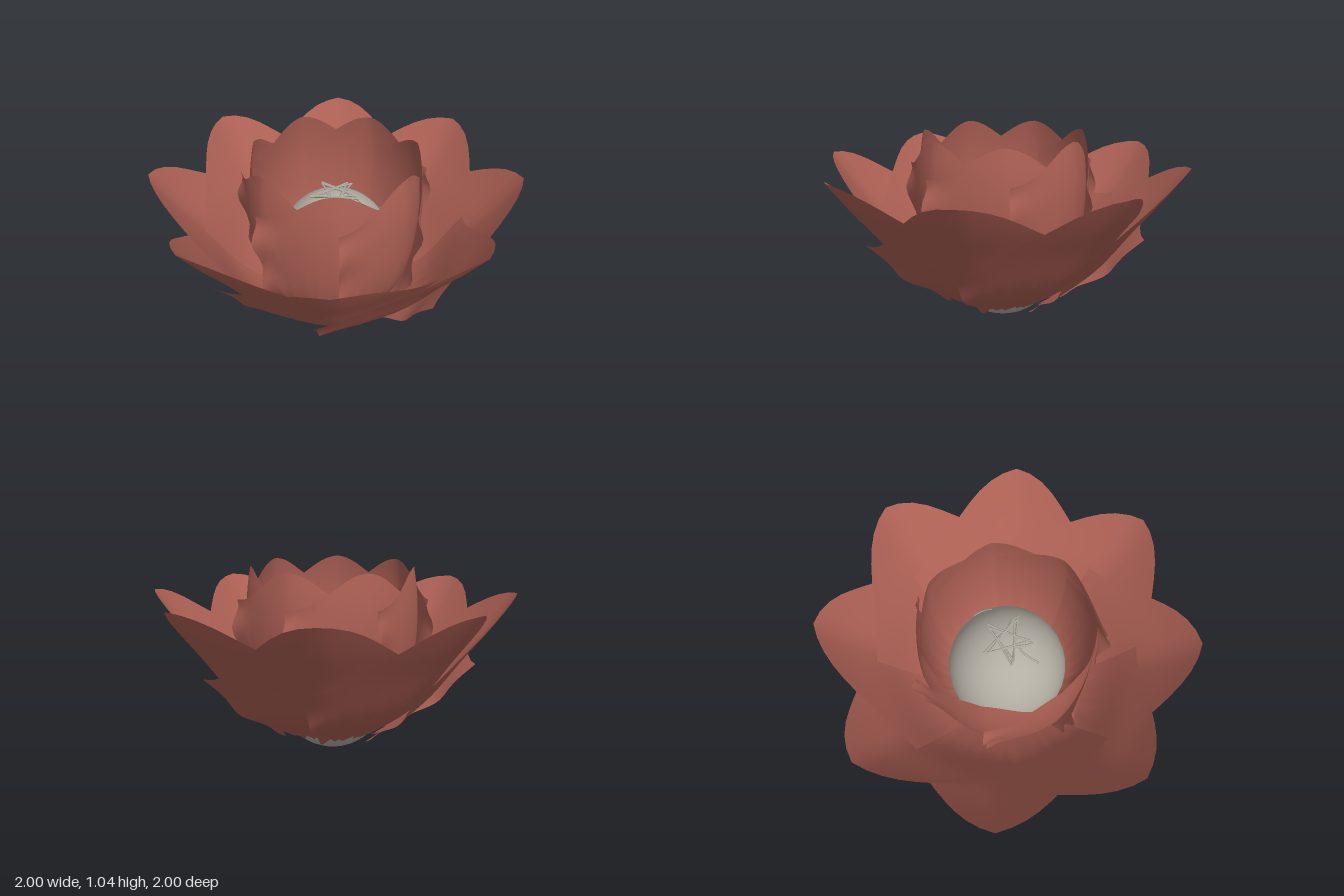
import * as THREE from 'three';

const petalRed = new THREE.MeshStandardMaterial({ color: 0xad6054, side: THREE.DoubleSide });
petalRed.name = 'petal red';
const paleGrey = new THREE.MeshStandardMaterial({ color: 0xb3aea3 });
paleGrey.name = 'pale grey';

// A curved sheet swept around the y axis: profile gives (radius, height) from base to tip,
// the sides drop away from the tip, the cup pulls them in, the twist tucks one side inside
// its neighbour, and the flare makes the other side stand off as a ragged edge.
function petalGeometry({ profile, halfAngle, dropInner, dropOuter, cup, twist, flare }) {
  const curve = new THREE.SplineCurve(profile.map(p => new THREE.Vector2(...p)));
  const cols = 24, rows = 18, positions = [], index = [];
  for (let j = 0; j <= rows; j++) {
    for (let i = 0; i <= cols; i++) {
      const u = (i / cols) * 2 - 1, side = Math.abs(u);
      const drop = u < 0 ? dropOuter : dropInner;
      const top = 1 - drop * Math.pow(Math.sin(side * Math.PI / 2), 1.5);
      const base = 0.03 + 0.11 * ((i * 7) % 5) / 4; // ragged lower edge
      const v = base + (top - base) * j / rows;
      const p = curve.getPoint(v);
      const edge = u < 0 ? flare * Math.pow(u, 6) * (0.7 + 0.3 * Math.sin(v * 24)) : 0;
      const r = p.x - twist * u * (0.4 + 0.6 * v) - cup * v * Math.sin(Math.PI * side) + edge;
      const a = u * halfAngle;
      positions.push(r * Math.sin(a), p.y, r * Math.cos(a));
    }
  }
  for (let j = 0; j < rows; j++) {
    for (let i = 0; i < cols; i++) {
      const a = j * (cols + 1) + i, b = a + 1, c = a + cols + 1, d = c + 1;
      index.push(a, b, d, a, d, c);
    }
  }
  const geo = new THREE.BufferGeometry();
  geo.setAttribute('position', new THREE.Float32BufferAttribute(positions, 3));
  geo.setIndex(index);
  geo.computeVertexNormals();
  return geo;
}

function petalRing(name, count, startDegrees, options) {
  const ring = new THREE.Group();
  ring.name = name + 's';
  const geo = petalGeometry(options);
  for (let i = 0; i < count; i++) {
    const petal = new THREE.Mesh(geo, petalRed);
    petal.name = name;
    petal.rotation.y = THREE.MathUtils.degToRad(startDegrees + i * 360 / count);
    ring.add(petal);
  }
  return ring;
}

export function createModel() {
  const flower = new THREE.Group();
  flower.name = 'flower';

  // Egg-shaped heart, showing below and inside the petals
  const height = 0.39, radius = 0.34;
  const heart = new THREE.Mesh(new THREE.SphereGeometry(1, 32, 20), paleGrey);
  heart.name = 'heart';
  heart.scale.set(radius, height, radius);
  heart.position.y = height;
  flower.add(heart);

  // Wide open outer petals
  flower.add(petalRing('outerPetal', 8, 6, {
    profile: [[0.23, 0.1], [0.39, 0.2], [0.57, 0.34], [0.75, 0.57], [0.89, 0.74], [1.005, 0.895]],
    halfAngle: 0.9, dropInner: 0.38, dropOuter: 0.45, cup: 0.06, twist: 0.055, flare: 0.05,
  }));

  // Upright cup of inner petals
  flower.add(petalRing('innerPetal', 7, 90 / 7, {
    profile: [[0.25, 0.17], [0.38, 0.28], [0.45, 0.48], [0.475, 0.72], [0.47, 0.9], [0.45, 1.045]],
    halfAngle: 0.85, dropInner: 0.22, dropOuter: 0.24, cup: 0.015, twist: 0.02, flare: 0.07,
  }));

  // Point lying on the heart's upper surface
  const onHeart = (x, z, lift) => new THREE.Vector3(
    x, height + height * Math.sqrt(1 - (x * x + z * z) / (radius * radius)) + lift, z);

  // Crossed stamens forming a star on top, their ends raised
  const stamens = new THREE.Group();
  stamens.name = 'stamens';
  const addStrand = (name, points, thickness) => {
    const path = new THREE.CatmullRomCurve3(points);
    const strand = new THREE.Mesh(new THREE.TubeGeometry(path, 8, thickness, 5), paleGrey);
    strand.name = name;
    stamens.add(strand);
  };
  for (let i = 0; i < 5; i++) {
    for (const [turn, r] of [[0, 0.12], [0.12, 0.14]]) {
      const a = i * Math.PI * 0.4 + turn, b = a + Math.PI * 0.8;
      const p = [Math.sin(a) * r, -Math.cos(a) * r], q = [Math.sin(b) * r, -Math.cos(b) * r];
      addStrand('stamen', [0, 0.5, 1].map(t => onHeart(
        p[0] + (q[0] - p[0]) * t, p[1] + (q[1] - p[1]) * t, t === 0.5 ? 0.015 : 0.04)), 0.006);
    }
  }

  // Loose curled threads
  const threads = [
    [[-0.05, 0.03], [-0.11, 0.04], [-0.18, 0.08]],
    [[0.05, 0.05], [0.09, 0.09], [0.1, 0.15]],
    [[0.25, 0.08], [0.3, 0.04], [0.32, 0]],
  ];
  for (const t of threads) addStrand('thread', t.map(([x, z]) => onHeart(x, z, 0.004)), 0.006);
  flower.add(stamens);

  return flower;
}
